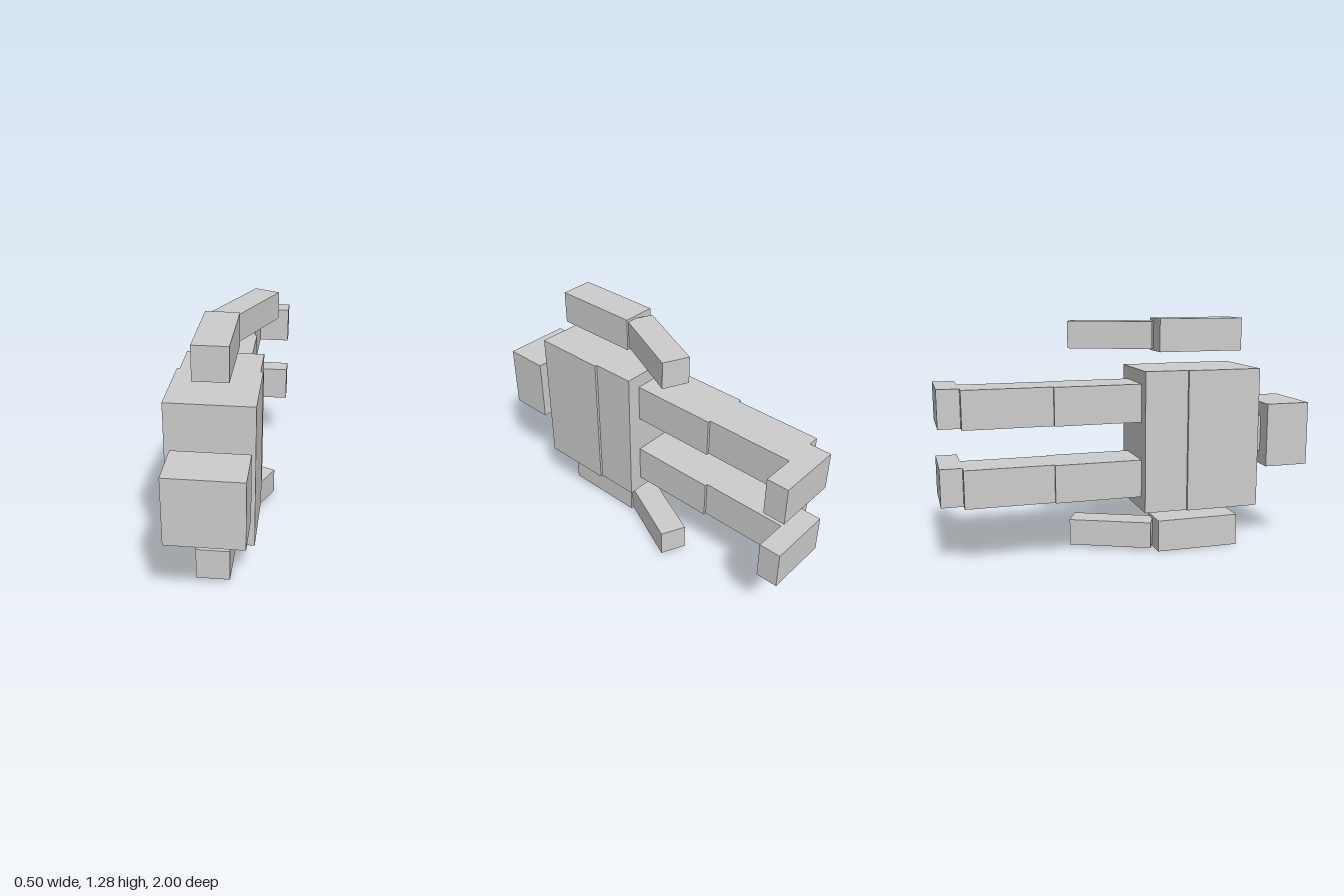
import * as THREE from 'three';

export function createModel() {
  const model = new THREE.Group();
  const grey = new THREE.MeshStandardMaterial({ color: 0xcccccc });
  grey.name = 'plain grey';
  const midY = 0.64; // the figure lies on its side, mirrored about this height

  // Box from x and z ranges, with a centre height and a thickness in y
  function box(name, x0, x1, z0, z1, y, h, parent = model) {
    const mesh = new THREE.Mesh(new THREE.BoxGeometry(x1 - x0, h, z1 - z0), grey);
    mesh.name = name;
    mesh.position.set((x0 + x1) / 2, y, (z0 + z1) / 2);
    parent.add(mesh);
    return mesh;
  }

  // Head and trunk
  box('head', -0.212, 0.165, 0.755, 1, midY, 0.348);
  box('neck', -0.128, 0.05, 0.68, 0.755, midY, 0.2);
  box('chest', -0.254, 0.178, 0.278, 0.68, midY, 0.752);
  box('hips', -0.24, 0.165, 0.045, 0.278, midY, 0.752);

  // Limbs, one set above and one below the middle
  for (const [label, s] of [['upper', 1], ['lower', -1]]) {
    const leg = new THREE.Group();
    leg.name = label + 'Leg';
    const legY = midY + s * 0.203;
    box('thigh', -0.17, 0.09, -0.42, 0.045, legY, 0.202, leg);
    box('shin', -0.155, 0.076, -0.885, -0.42, legY, 0.202, leg);
    box('foot', -0.096, 0.25, -1, -0.885, legY, 0.202, leg);

    const arm = new THREE.Group();
    arm.name = label + 'Arm';
    const armY = midY + s * 0.551;
    box('upperArm', -0.125, 0.05, 0.16, 0.625, armY, 0.175, arm);
    // Forearm bent forward at the elbow
    const forearm = box('forearm', -0.011, 0.131, -0.283, 0.173, armY, 0.145, arm);
    forearm.rotation.y = -0.43;
    model.add(leg, arm);
  }
  return model;
}
